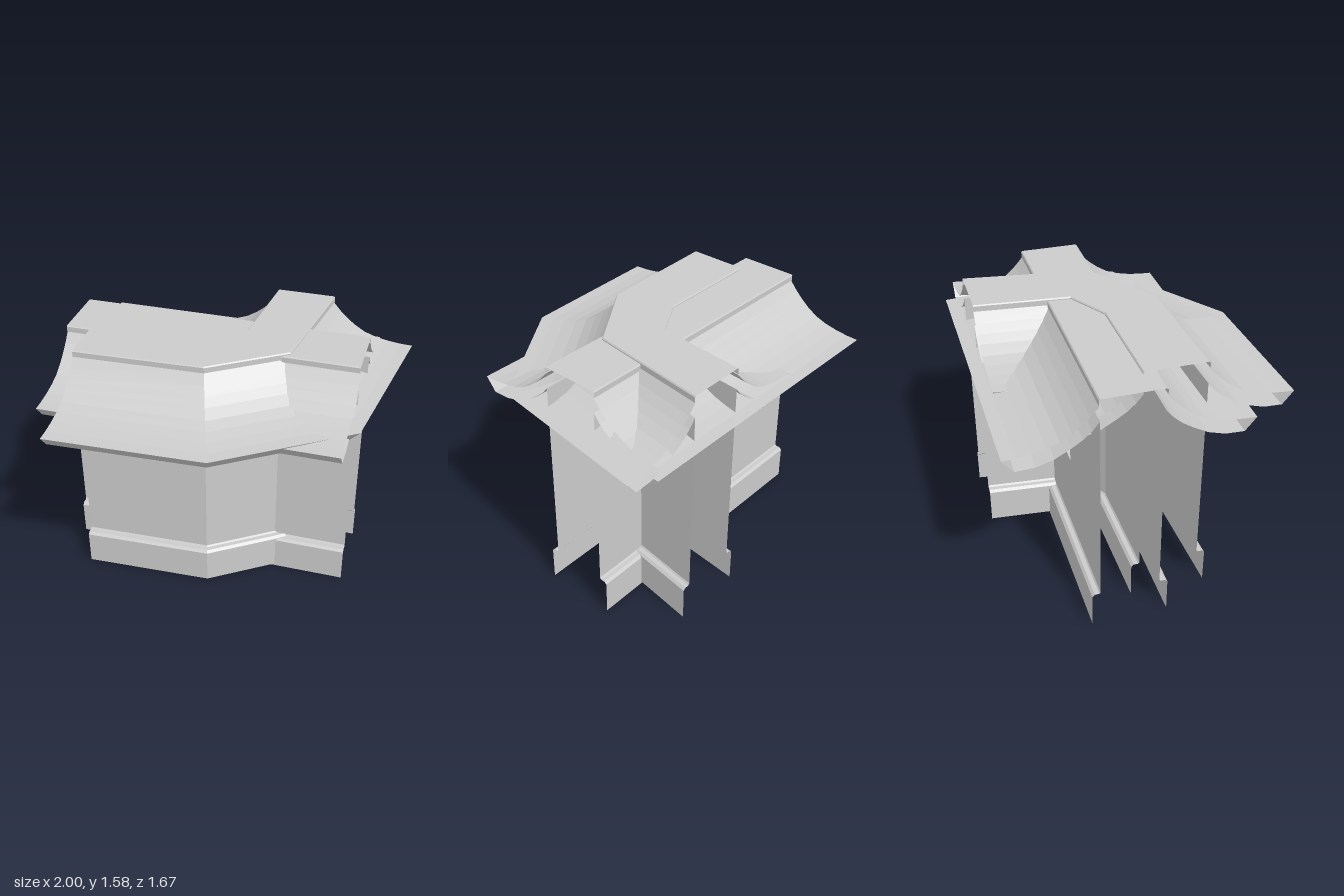
import * as THREE from 'three';

const material = new THREE.MeshStandardMaterial({ color: 0xcccccc, flatShading: true, side: THREE.DoubleSide });

// Profiles as [outward offset, height], bottom to top
const BASE = [[0.05, 0], [0.05, 0.215], [0.035, 0.23], [0.008, 0.23], [0, 0.24]];
const WALL = [[0, 0.24], [0, 1.43]];
const ROOF = [
  [0, 1.43], [0.04, 1.38], [0.09, 1.335], [0.15, 1.295], [0.24, 1.245], [0.34, 1.215], [0.45, 1.21], // soffit
  [0.515, 1.29], // eave lip
  [0.44, 1.293], [0.36, 1.303], [0.28, 1.32], [0.21, 1.345], [0.145, 1.385], [0.095, 1.425], [0.05, 1.468], [0, 1.525], // flare
];
const CAP = [[0, 1.525], [0.006, 1.525], [0.006, 1.558], [0, 1.565]];

// Mitred offset of a plan path [x, z]; outward is +z for a path running along +x
function offsetPath(path, d) {
  const normals = path.slice(1).map(([x, z], i) =>
    new THREE.Vector2(-(z - path[i][1]), x - path[i][0]).normalize());
  return path.map(([x, z], i) => {
    const a = normals[Math.max(i - 1, 0)];
    const b = normals[Math.min(i, normals.length - 1)];
    const k = d / (1 + a.dot(b));
    return [x + (a.x + b.x) * k, z + (a.y + b.y) * k];
  });
}

// Sweeps an open profile along a plan path
function sweep(name, path, profile) {
  const positions = [], index = [], n = path.length;
  profile.forEach(([d, y], j) => {
    offsetPath(path, d).forEach(([x, z], i) => {
      positions.push(x, y, z);
      if (i && j) {
        const c = j * n + i, a = c - n;
        index.push(a - 1, a, c, a - 1, c, c - 1);
      }
    });
  });
  const geometry = new THREE.BufferGeometry();
  geometry.setAttribute('position', new THREE.Float32BufferAttribute(positions, 3));
  geometry.setIndex(index);
  geometry.computeVertexNormals();
  return named(name, geometry);
}

function named(name, geometry) {
  const mesh = new THREE.Mesh(geometry, material);
  mesh.name = name;
  return mesh;
}

// One open-ended wing: both sides swept, closed by a flat ridge top
function wing(name, front, back, openBackWall) {
  const group = new THREE.Group();
  group.name = name;
  const sides = { front, back: [...back].reverse() };
  for (const [side, path] of Object.entries(sides)) {
    group.add(sweep(side + 'Base', path, BASE));
    if (side === 'front' || !openBackWall) group.add(sweep(side + 'Wall', path, WALL));
    group.add(sweep(side + 'Roof', path, ROOF), sweep(side + 'RidgeEdge', path, CAP));
  }
  const outline = [...sides.front, ...sides.back].map(([x, z]) => new THREE.Vector2(x, -z));
  const top = new THREE.ShapeGeometry(new THREE.Shape(outline));
  top.rotateX(-Math.PI / 2).translate(0, 1.565, 0);
  group.add(named('ridgeTop', top));
  return group;
}

function rectangle(Type, x0, x1, y0, y1) {
  return new Type([[x0, y0], [x1, y0], [x1, y1], [x0, y1]].map(([x, y]) => new THREE.Vector2(x, y)));
}

export function createModel() {
  const model = new THREE.Group();
  model.name = 'building';

  // Straight wing
  const zBack = -0.325;
  const straight = wing('straightWing', [[-1, 0.03], [0.785, 0.03]], [[-1, zBack], [0.785, zBack]], true);

  // Back wall with a recessed window niche
  const [x0, x1, y0, y1, depth] = [-0.36, 0.05, 0.72, 1.06, 0.13];
  const shape = rectangle(THREE.Shape, -1, 0.785, 0.24, 1.43);
  shape.holes.push(rectangle(THREE.Path, x0, x1, y0, y1));
  const wall = named('backWall', new THREE.ShapeGeometry(shape).rotateY(Math.PI));
  wall.geometry.scale(-1, 1, 1);
  const faces = wall.geometry.index.array;
  for (let i = 0; i < faces.length; i += 3) [faces[i], faces[i + 1]] = [faces[i + 1], faces[i]];
  wall.geometry.computeVertexNormals();
  wall.position.z = zBack;
  straight.add(wall);

  const w = x1 - x0, h = y1 - y0, cx = (x0 + x1) / 2, cy = (y0 + y1) / 2;
  const nicheParts = [
    ['nicheBack', w, h, [0, Math.PI], [cx, cy, zBack + depth]],
    ['nicheSill', w, depth, [-Math.PI / 2, 0], [cx, y0, zBack + depth / 2]],
    ['nicheTop', w, depth, [Math.PI / 2, 0], [cx, y1, zBack + depth / 2]],
    ['nicheSide', depth, h, [0, Math.PI / 2], [x0, cy, zBack + depth / 2]],
    ['nicheSide', depth, h, [0, -Math.PI / 2], [x1, cy, zBack + depth / 2]],
  ];
  for (const [name, width, height, [rx, ry], position] of nicheParts) {
    const part = named(name, new THREE.PlaneGeometry(width, height));
    part.rotation.set(rx, ry, 0);
    part.position.set(...position);
    straight.add(part);
  }

  // Bent wing, standing slightly higher
  const bent = wing('bentWing',
    [[-0.84, 0.32], [-0.06, 0.29], [0.37, 0], [0.48, -0.76]],
    [[-0.84, -0.04], [-0.17, -0.05], [0.07, -0.19], [0.125, -0.76]]);
  bent.position.y = 0.013;

  // Trim the swept rear ends flush with the rear plane
  bent.traverse((part) => {
    if (!part.isMesh || part.name === 'ridgeTop') return;
    const p = part.geometry.attributes.position;
    const front = part.name.startsWith('front');
    for (let i = 0; i < p.count; i++) {
      // Rear end vertex of each ring slides along its wall line
      if (i % 4 !== (front ? 3 : 0)) continue;
      const slope = front ? -0.11 / 0.76 : -0.055 / 0.57;
      p.setX(i, p.getX(i) + (-0.76 - p.getZ(i)) * slope);
      p.setZ(i, -0.76);
    }
    // Left end vertices line up with the left plane
    for (let i = front ? 0 : 3; i < p.count; i += 4) p.setX(i, -0.84);
    part.geometry.computeVertexNormals();
  });

  model.add(straight, bent);
  return model;
}
